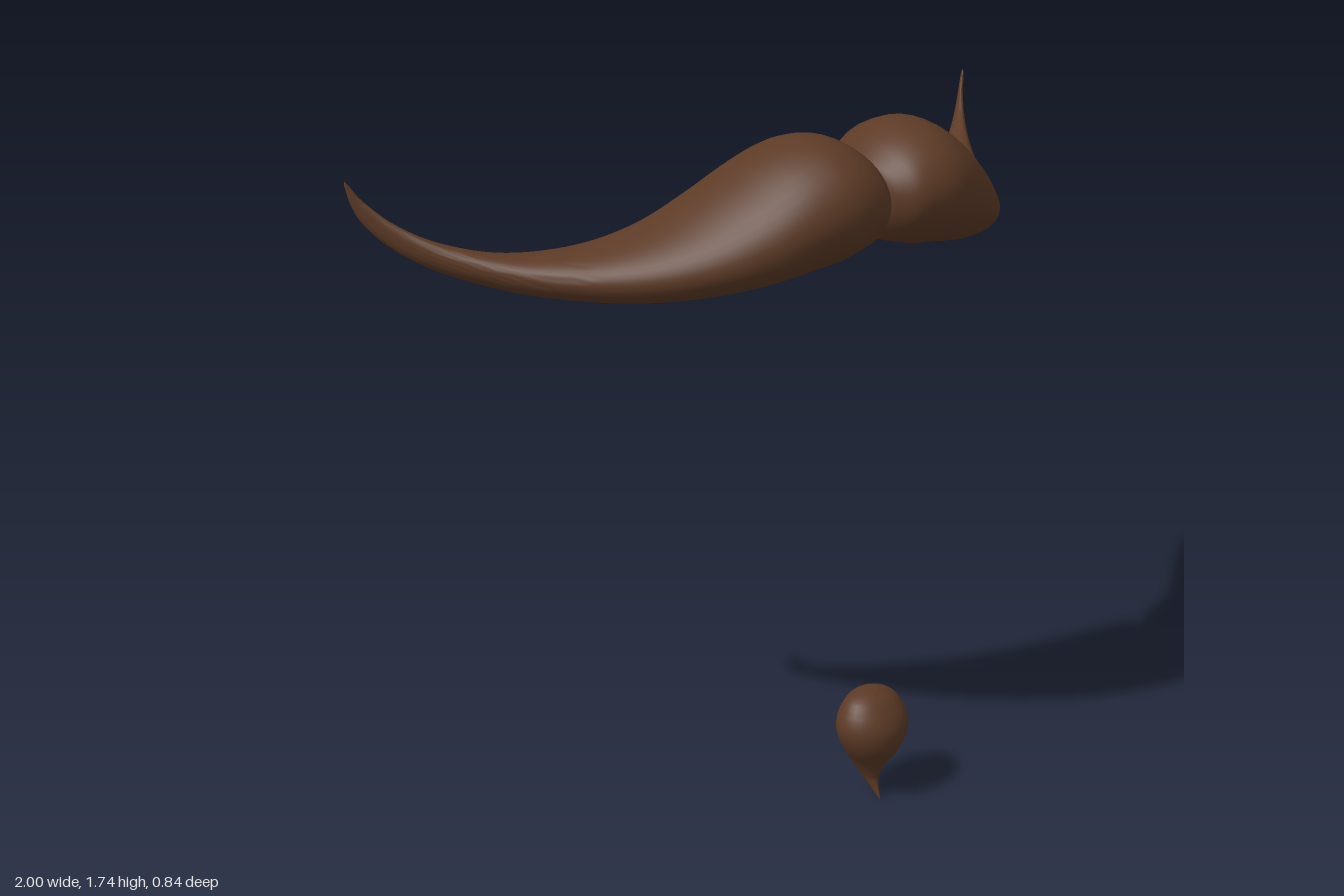
import * as THREE from 'three';
import { toCreasedNormals } from 'three/addons/utils/BufferGeometryUtils.js';

// Rows: [station along the body, minA, maxA, minB, maxB] of each oval section
const WING = [ // x, bottom y, top y, back z, front z
  [0, 1.53, 1.655, 0.14, 0.32],
  [0.015, 1.50, 1.67, 0.115, 0.355],
  [0.05, 1.465, 1.705, 0.06, 0.395],
  [0.1, 1.447, 1.734, 0.03, 0.412],
  [0.15, 1.435, 1.743, 0.023, 0.418],
  [0.2, 1.428, 1.735, 0.01, 0.41],
  [0.27, 1.413, 1.70, -0.01, 0.387],
  [0.35, 1.398, 1.64, -0.04, 0.345],
  [0.45, 1.383, 1.565, -0.088, 0.265],
  [0.55, 1.376, 1.515, -0.145, 0.165],
  [0.65, 1.38, 1.488, -0.21, 0.045],
  [0.75, 1.398, 1.483, -0.275, -0.09],
  [0.85, 1.437, 1.508, -0.333, -0.23],
  [0.92, 1.485, 1.55, -0.377, -0.325],
  [0.97, 1.545, 1.603, -0.41, -0.387],
  [0.99, 1.59, 1.635, -0.422, -0.407],
  [1.0, 1.635, 1.65, -0.425, -0.417],
];
const CHIN = [ // y, left x, right x, back z, front z
  [0, -0.002, 0.002, 0.331, 0.337],
  [0.03, -0.01, 0.01, 0.293, 0.328],
  [0.06, -0.022, 0.022, 0.262, 0.326],
  [0.1, -0.045, 0.045, 0.24, 0.345],
  [0.15, -0.08, 0.08, 0.225, 0.378],
  [0.2, -0.099, 0.099, 0.219, 0.388],
  [0.24, -0.094, 0.094, 0.224, 0.377],
  [0.275, -0.074, 0.074, 0.24, 0.352],
  [0.292, -0.05, 0.05, 0.255, 0.33],
  [0.3, -0.022, 0.022, 0.275, 0.315],
];

// Skins oval sections; place(s, a, b, ca, cb) turns section coordinates into a point
function loft(rows, place, flip, steps = 72, sides = 40) {
  const curve = (i, j) => new THREE.CatmullRomCurve3(
    rows.map((r) => new THREE.Vector3(r[0], r[i], r[j])), false, 'catmullrom', 0.5);
  const curveA = curve(1, 2), curveB = curve(3, 4);
  const pos = [], index = [];
  const tri = (a, b, c) => (flip ? index.push(a, c, b) : index.push(a, b, c));
  for (let i = 0; i <= steps; i++) {
    const A = curveA.getPoint(i / steps), B = curveB.getPoint(i / steps);
    const ca = (A.y + A.z) / 2, cb = (B.y + B.z) / 2;
    for (let j = 0; j < sides; j++) {
      const t = (j / sides) * Math.PI * 2;
      pos.push(...place(A.x, ca + (A.z - A.y) / 2 * Math.cos(t),
        cb + (B.z - B.y) / 2 * Math.sin(t), ca, cb));
      if (i < steps) {
        const k = (j + 1) % sides, p = i * sides;
        tri(p + j, p + k, p + sides + j);
        tri(p + k, p + sides + k, p + sides + j);
      }
    }
  }
  // End caps
  for (const [ring, first] of [[0, true], [steps, false]]) {
    const p = ring * sides;
    for (let j = 1; j < sides - 1; j++) {
      if (first) tri(p, p + j + 1, p + j);
      else tri(p, p + j, p + j + 1);
    }
  }
  const g = new THREE.BufferGeometry();
  g.setAttribute('position', new THREE.Float32BufferAttribute(pos, 3));
  g.setIndex(index);
  return toCreasedNormals(g, 0.6);
}

// Moustache half with a flat cut on the lower back of its inner end
function wing(side) {
  return loft(WING, (x, y, z, cy, cz) => {
    const limit = 0.12 + Math.max(0, x - 0.23) * 1.5;
    const over = -0.8 * (y - cy) - 0.6 * (z - cz) - limit;
    if (over > 0) { y += 0.8 * over; z += 0.6 * over; }
    return [side * x, y, z];
  }, side < 0);
}

export function createModel() {
  const group = new THREE.Group();
  const brown = new THREE.MeshStandardMaterial({ color: 0x5c3a26 });
  brown.name = 'brownHair';
  const add = (name, geometry) => {
    const mesh = new THREE.Mesh(geometry, brown);
    mesh.name = name;
    group.add(mesh);
  };
  add('moustacheLeft', wing(1));
  add('moustacheRight', wing(-1));
  // Teardrop chin tuft
  add('chinTuft', loft(CHIN, (y, x, z) => [x, y, z], true, 40, 32));
  return group;
}
